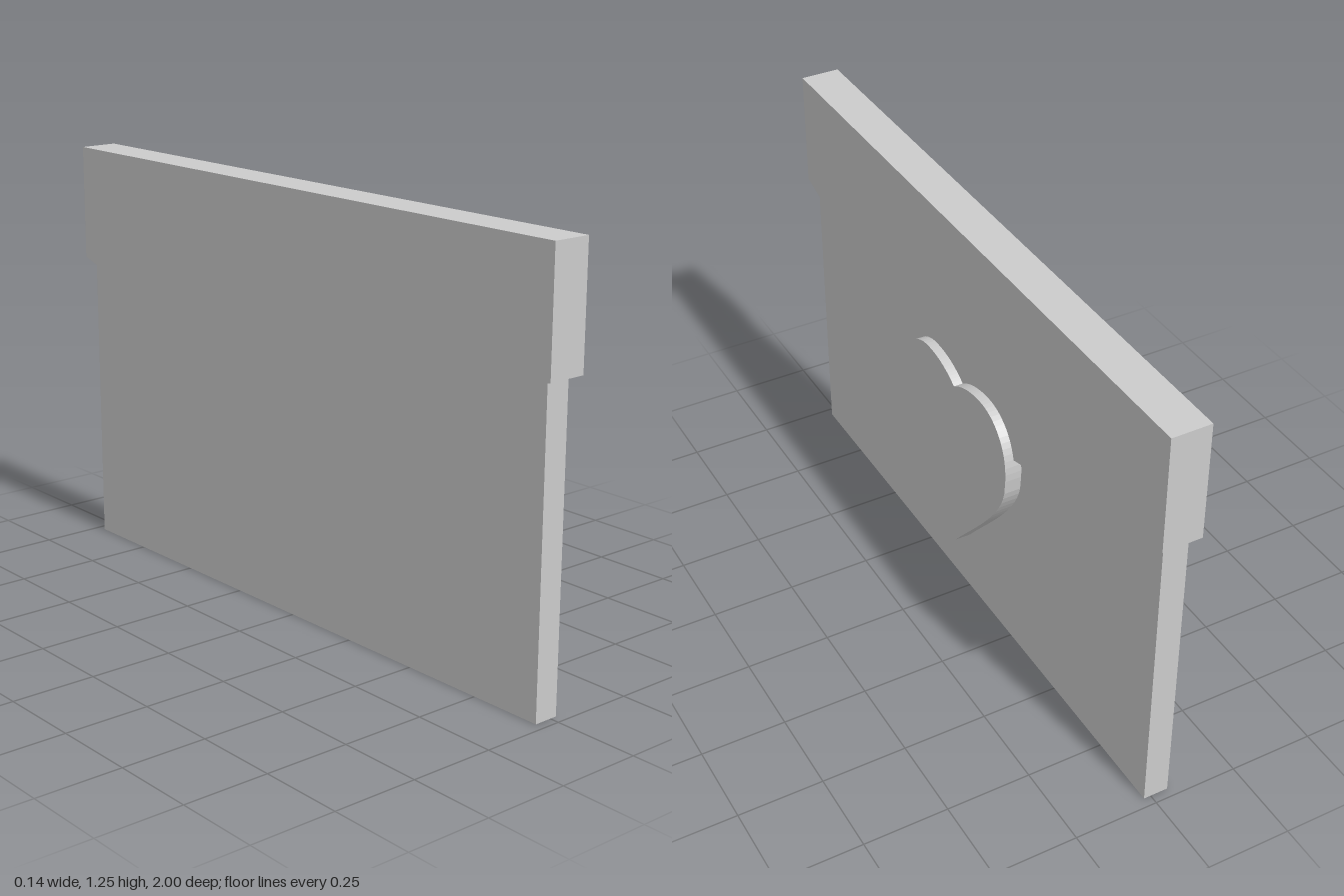
import * as THREE from 'three';

const material = new THREE.MeshStandardMaterial({ color: 0xcccccc });

// Extrudes a side-view outline (z, y) along x, from x0 to x1
function slab(name, shape, x0, x1) {
  const geometry = new THREE.ExtrudeGeometry(shape, { depth: x1 - x0, bevelEnabled: false, curveSegments: 16 });
  geometry.rotateY(Math.PI / 2).translate(x0, 0, 0);
  const mesh = new THREE.Mesh(geometry, material);
  mesh.name = name;
  return mesh;
}

const polygon = (points) => new THREE.Shape(points.map(([u, v]) => new THREE.Vector2(u, v)));

function heartShape() {
  const s = new THREE.Shape();
  s.moveTo(0, 0.2);
  // Right half, from the tip up to the notch
  s.bezierCurveTo(0.1, 0.32, 0.29, 0.5, 0.29, 0.605);
  s.bezierCurveTo(0.31, 0.74, 0.23, 0.81, 0.15, 0.81);
  s.bezierCurveTo(0.1, 0.81, 0.05, 0.8, 0, 0.765);
  // Left half, mirrored back down to the tip
  s.bezierCurveTo(-0.05, 0.8, -0.1, 0.81, -0.15, 0.81);
  s.bezierCurveTo(-0.23, 0.81, -0.31, 0.74, -0.29, 0.605);
  s.bezierCurveTo(-0.29, 0.5, -0.1, 0.32, 0, 0.2);
  return s;
}

export function createModel() {
  const model = new THREE.Group();
  model.name = 'envelope';

  // Flat pocket, tucked up inside the flap
  const body = polygon([[-0.972, 0], [0.972, 0], [0.972, 1.2], [-0.972, 1.2]]);
  model.add(slab('body', body, -0.053, 0.021));

  // Thicker flap with a pointed lower edge
  const flap = polygon([[-1, 1.255], [-1, 0.908], [0, 0.605], [1, 0.908], [1, 1.255]]);
  model.add(slab('flap', flap, -0.073, 0.043));

  // Heart-shaped seal over the flap's point
  model.add(slab('heartSeal', heartShape(), 0.015, 0.071));

  return model;
}
